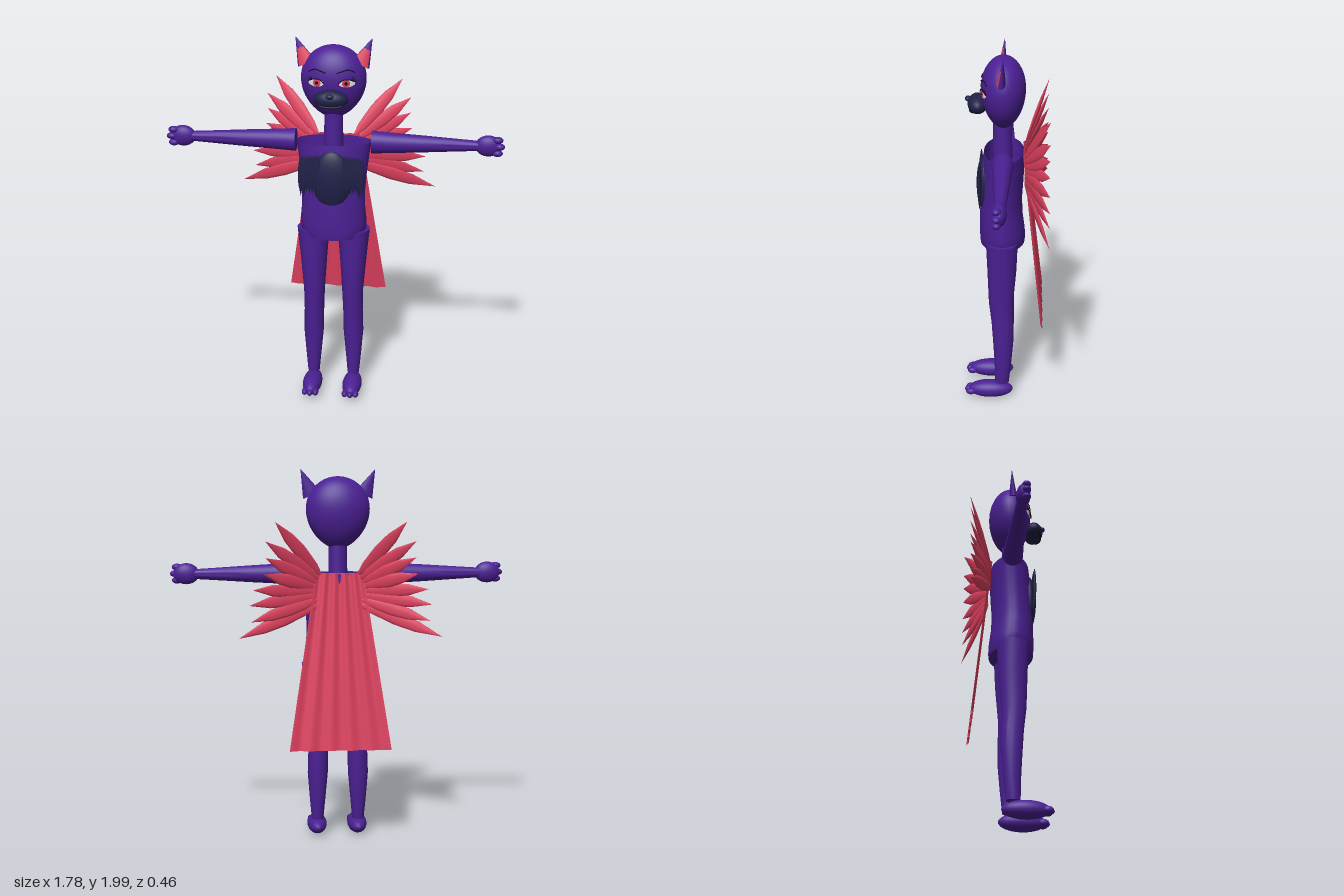
import * as THREE from 'three';
import { toCreasedNormals } from 'three/addons/utils/BufferGeometryUtils.js';

const material = (name, color, side = THREE.FrontSide) => {
  const m = new THREE.MeshStandardMaterial({ color, side });
  m.name = name;
  return m;
};

export function createModel() {
  const purple = material('purple', 0x4b2094, THREE.DoubleSide);
  const crimson = material('crimson', 0xdd405e, THREE.DoubleSide);
  const navy = material('navy', 0x202148);
  const black = material('black', 0x0c0a14, THREE.DoubleSide);
  const white = material('white', 0xf0eeee, THREE.DoubleSide);
  const model = new THREE.Group();

  function add(name, geometry, mat, x = 0, y = 0, z = 0) {
    const mesh = new THREE.Mesh(geometry, mat);
    mesh.name = name;
    mesh.position.set(x, y, z);
    model.add(mesh);
    return mesh;
  }
  const ellipsoid = (name, mat, x, y, z, rx, ry, rz) =>
    add(name, new THREE.SphereGeometry(1, 24, 16).scale(rx, ry, rz), mat, x, y, z);

  // Elliptical rings [centre x, y, centre z, radius x, radius z], listed from the top down
  function loft(rings) {
    const geo = new THREE.CylinderGeometry(1, 1, 1, 28, rings.length - 1, true);
    const p = geo.attributes.position;
    for (let i = 0; i < p.count; i++) {
      const [cx, y, cz, rx, rz] = rings[Math.round((0.5 - p.getY(i)) * (rings.length - 1))];
      p.setXYZ(i, cx + p.getX(i) * rx, y, cz + p.getZ(i) * rz);
    }
    return toCreasedNormals(geo, 0.8);
  }

  // Head: an egg with a narrow chin
  const headR = (y) => {
    const t = y > 1.79 ? (y - 1.79) / 0.17 : (1.79 - y) / 0.215;
    return 0.17 * Math.pow(Math.max(0, 1 - t * t), y > 1.79 ? 0.5 : 0.62);
  };
  const headZ = (x, y) => 0.013 + 0.68 * Math.sqrt(Math.max(0, headR(y) ** 2 - x * x));
  const egg = [];
  for (let i = 0; i <= 28; i++) {
    const s = Math.sin(-Math.PI / 2 + (Math.PI * i) / 28);
    const y = 1.79 + s * (s > 0 ? 0.17 : 0.215);
    egg.push(new THREE.Vector2(headR(y), y));
  }
  add('head', new THREE.LatheGeometry(egg, 36).scale(1, 1, 0.68), purple, 0, 0, 0.013);

  // Thin disc wrapped on the face
  function facePatch(name, mat, cx, cy, rx, ry, lift) {
    const geo = new THREE.RingGeometry(0, 1, 24, 4);
    const p = geo.attributes.position;
    for (let i = 0; i < p.count; i++) {
      const x = cx + p.getX(i) * rx, y = cy + p.getY(i) * ry;
      p.setXYZ(i, x, y, headZ(x, y) + lift);
    }
    geo.computeVertexNormals();
    add(name, geo, mat);
  }
  // Thin line drawn over the face through [x, y] points
  function faceLine(name, mat, points, radius) {
    const curve = new THREE.CatmullRomCurve3(
      points.map(([x, y]) => new THREE.Vector3(x, y, headZ(x, y) + 0.005)));
    add(name, new THREE.TubeGeometry(curve, 12, radius, 6), mat);
  }

  // Muzzle, nose and mouth
  ellipsoid('muzzle', navy, 0, 1.707, 0.145, 0.09, 0.05, 0.053);
  ellipsoid('nose', navy, 0, 1.733, 0.195, 0.021, 0.014, 0.016);
  const smile = [];
  for (let i = -4; i <= 4; i++) {
    const x = i * 0.018, y = 1.674 + 1.8 * x * x;
    const k = 1 - (x / 0.09) ** 2 - ((y - 1.707) / 0.05) ** 2;
    smile.push(new THREE.Vector3(x, y, 0.145 + 0.053 * Math.sqrt(Math.max(0, k))));
  }
  add('mouth', new THREE.TubeGeometry(new THREE.CatmullRomCurve3(smile), 24, 0.006, 6), black);

  // Neck and open-topped torso
  add('neck', new THREE.CylinderGeometry(0.048, 0.052, 0.21, 24), purple, 0, 1.51, 0.018);
  add('torso', loft([
    [0, 1.45, 0.01, 0.2, 0.105], [0, 1.38, 0.013, 0.188, 0.11], [0, 1.28, 0.018, 0.176, 0.11],
    [0, 1.18, 0.025, 0.168, 0.11], [0, 1.09, 0.025, 0.17, 0.114], [0, 1.01, 0.02, 0.178, 0.12],
    [0, 0.955, 0.018, 0.174, 0.121], [0, 0.93, 0.018, 0.16, 0.118], [0, 0.93, 0.018, 0.001, 0.001],
  ]), purple);
  ellipsoid('chestPatch', navy, 0, 1.262, 0.112, 0.103, 0.16, 0.044);

  // Feather spindle running from its root at the origin to its tip at y = length
  const feather = (length, width, thick) => new THREE.LatheGeometry(
    [[0.12, 0], [0.35, 0.15], [0.5, 0.45], [0.42, 0.7], [0, 1]].map(
      ([r, t]) => new THREE.Vector2(r * width, t * length)), 10).scale(1, 1, thick / width);

  const featherTips = [[0.34, 1.73], [0.39, 1.63], [0.39, 1.545], [0.4, 1.46],
    [0.455, 1.38], [0.475, 1.3], [0.465, 1.215], [0.53, 1.13]];

  for (const s of [1, -1]) {
    const side = s > 0 ? 'left' : 'right';

    // Ear with a red inner face
    const ear = new THREE.Group();
    ear.name = side + 'Ear';
    const shell = new THREE.Mesh(new THREE.ConeGeometry(0.05, 0.15, 20), purple);
    shell.name = 'earShell';
    const inner = new THREE.Mesh(
      new THREE.ConeGeometry(0.053, 0.142, 12, 1, true, -1.05 - s * 0.15, 2.1), crimson);
    inner.name = 'innerEar';
    inner.position.y = -0.003;
    ear.add(shell, inner);
    ear.scale.z = 0.45;
    ear.position.set(s * 0.168, 1.93, 0.015);
    ear.rotation.set(-0.08, 0, -s * 0.41);
    model.add(ear);

    // Eye, lashes and brow
    facePatch(side + 'EyeWhite', white, s * 0.079, 1.785, 0.041, 0.02, 0.003);
    facePatch(side + 'Iris', crimson, s * 0.075, 1.785, 0.02, 0.02, 0.005);
    facePatch(side + 'Pupil', black, s * 0.075, 1.785, 0.008, 0.009, 0.007);
    faceLine(side + 'UpperLid', black,
      [[s * 0.037, 1.785], [s * 0.06, 1.803], [s * 0.09, 1.804], [s * 0.122, 1.79]], 0.003);
    faceLine(side + 'Brow', black,
      [[s * 0.028, 1.838], [s * 0.055, 1.846], [s * 0.085, 1.853], [s * 0.118, 1.838]], 0.003);
    for (let i = 0; i < 3; i++) {
      const lash = add(side + 'Lash', new THREE.ConeGeometry(0.003, 0.035, 5), black,
        s * (0.108 + i * 0.008), 1.813 - i * 0.007, 0.11 - i * 0.004);
      lash.rotation.set(0.6, 0, -s * (0.5 + i * 0.35));
    }

    // Arm and hand
    const arm = add(side + 'Arm', loft([
      [0, 0.56, 0, 0.026, 0.026], [0, 0.4, 0, 0.036, 0.034], [0, 0.26, 0, 0.045, 0.042],
      [0, 0.1, 0, 0.054, 0.05], [0, 0, 0, 0.06, 0.056], [0, 0, 0, 0.001, 0.001],
    ]), purple, s * 0.2, 1.447, 0.013);
    arm.rotation.z = -s * Math.PI / 2;
    ellipsoid(side + 'Hand', purple, s * 0.805, 1.449, 0.015, 0.068, 0.056, 0.036);
    [1.484, 1.449, 1.414].forEach((y, i) =>
      ellipsoid(side + 'Finger', purple, s * (i === 1 ? 0.863 : 0.853), y, 0.027, 0.028, 0.018, 0.022));

    // Leg, foot and toes
    add(side + 'Leg', loft([
      [s * 0.108, 0.965, 0.02, 0.001, 0.001], [s * 0.108, 0.965, 0.02, 0.087, 0.085],
      [s * 0.107, 0.8, 0.02, 0.072, 0.078], [s * 0.105, 0.6, 0.025, 0.057, 0.066],
      [s * 0.107, 0.48, 0.017, 0.054, 0.06], [s * 0.11, 0.36, 0.013, 0.055, 0.056],
      [s * 0.111, 0.22, 0.015, 0.043, 0.046], [s * 0.111, 0.1, 0.02, 0.032, 0.038],
      [s * 0.111, 0.1, 0.02, 0.001, 0.001],
    ]), purple);
    ellipsoid(side + 'Foot', purple, s * 0.111, 0.055, 0.085, 0.053, 0.049, 0.125);
    for (const dx of [-0.03, 0, 0.03])
      ellipsoid(side + 'Toe', purple, s * 0.111 + dx, 0.05, dx ? 0.194 : 0.202, 0.016, 0.018, 0.027);

    // Fringe hanging beside the chest patch
    for (let i = 0; i < 7; i++) {
      const length = 0.2 + 0.025 * ((i * 3) % 4) / 3;
      const strand = add(side + 'ChestFringe', feather(length, 0.03, 0.018), navy,
        s * (0.07 + i * 0.015), 1.405 - i * 0.002, 0.135);
      strand.rotation.z = Math.PI;
    }

    // Wing: a fan of feathers sweeping back
    featherTips.forEach(([tx, ty], i) => {
      const root = new THREE.Vector3(s * (0.1 + 0.025 * Math.sin(i * Math.PI / 7)), 1.45 - i * 0.022, -0.1);
      const along = new THREE.Vector3(s * tx, ty, -0.227).sub(root);
      const length = along.length();
      along.normalize();
      const across = along.clone().cross(new THREE.Vector3(0, 0, 1)).normalize();
      const normal = across.clone().cross(along);
      const mesh = add(side + 'WingFeather', feather(length, 0.072, 0.02), crimson);
      mesh.quaternion.setFromRotationMatrix(new THREE.Matrix4().makeBasis(across, along, normal));
      mesh.position.copy(root);
    });
  }

  // Cape: a flaring sheet with soft folds
  const cape = new THREE.PlaneGeometry(2, 1, 60, 16);
  const p = cape.attributes.position;
  for (let i = 0; i < p.count; i++) {
    const u = p.getX(i), t = 0.5 - p.getY(i);
    p.setXYZ(i, u * (0.125 + 0.145 * t), 1.457 - 0.932 * t,
      -0.096 - 0.1 * t + 0.006 * Math.cos(u * Math.PI * 5));
  }
  cape.computeVertexNormals();
  add('cape', cape, crimson);

  return model;
}
